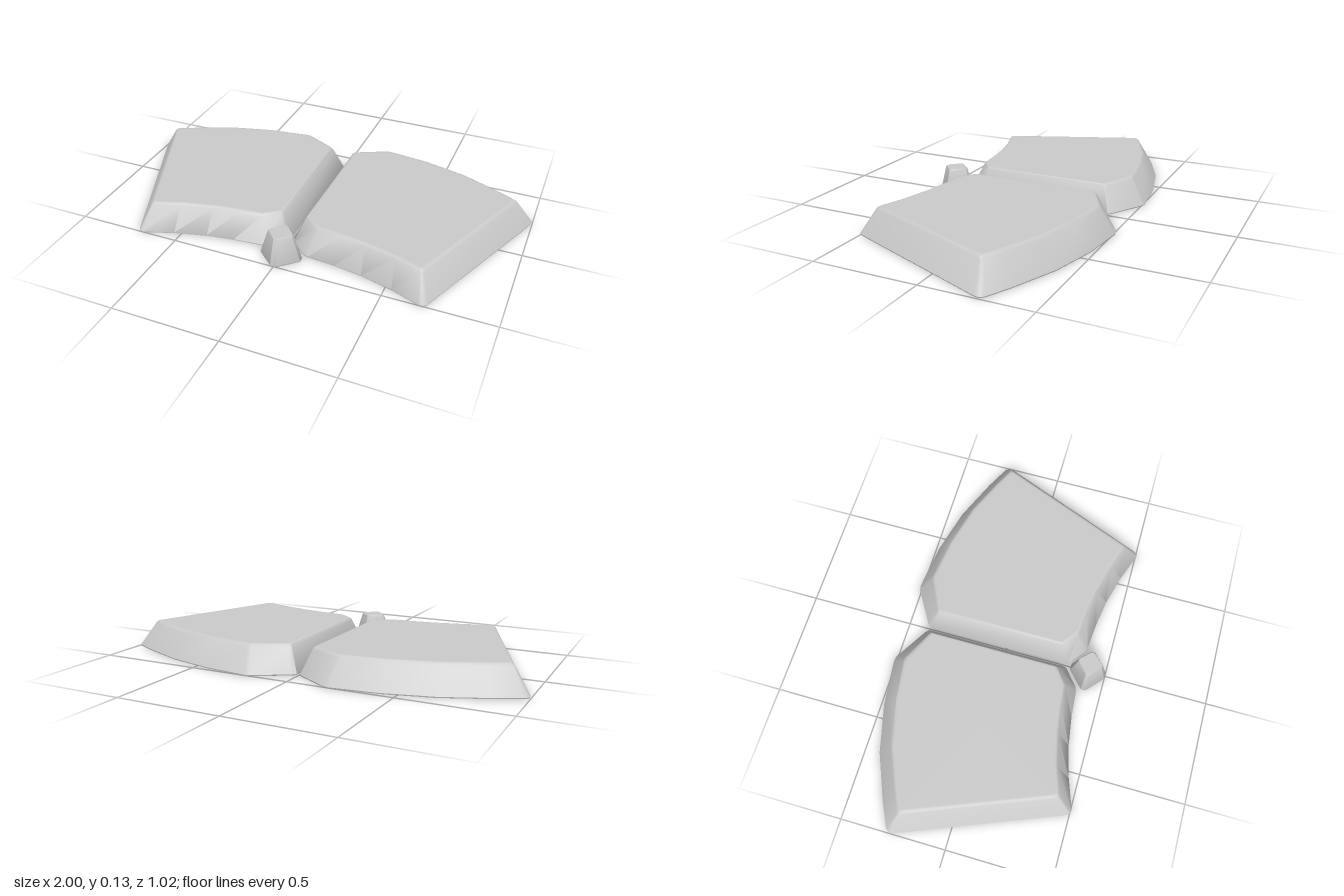
import * as THREE from 'three';
import { toCreasedNormals } from 'three/addons/utils/BufferGeometryUtils.js';

const material = new THREE.MeshStandardMaterial({ color: 0xcccccc });

// Rows of [blend from base to top outline, height]: thin foot, sloped wall, soft rim, flat top
const PROFILE = [[0.1, 0], [0.02, 0.002], [0, 0.007], [0.92, 0.121], [1.02, 0.129], [1.09, 0.132], [1.25, 0.132]];

// Each outline point is [base x, base z, top x, top z], clockwise from above
const TILE = [
  [0.008, -0.395, 0.058, -0.355], [0.025, -0.412, 0.07, -0.365],
  [0.185, -0.508, 0.215, -0.437], [0.21, -0.512, 0.235, -0.438],
  [0.43, -0.487, 0.43, -0.414], [0.66, -0.43, 0.64, -0.36], [0.87, -0.342, 0.82, -0.282],
  [0.985, -0.285, 0.905, -0.24], [0.998, -0.268, 0.913, -0.232], [0.994, -0.245, 0.911, -0.222],
  [0.698, 0.487, 0.655, 0.418], [0.687, 0.502, 0.647, 0.428], [0.67, 0.505, 0.637, 0.428],
  [0.53, 0.455, 0.52, 0.388], [0.38, 0.416, 0.37, 0.352], [0.25, 0.396, 0.25, 0.335],
  [0.115, 0.384, 0.14, 0.324], [0.095, 0.377, 0.125, 0.317],
  [0.015, 0.311, 0.064, 0.272], [0.008, 0.297, 0.058, 0.26],
];

// Diamond with clipped corners
const STUD = [
  [-0.015, 0.329, -0.008, 0.357], [0.015, 0.329, 0.008, 0.357],
  [0.097, 0.403, 0.058, 0.408], [0.097, 0.427, 0.058, 0.422],
  [0.015, 0.5, 0.008, 0.472], [-0.015, 0.5, -0.008, 0.472],
  [-0.097, 0.427, -0.058, 0.422], [-0.097, 0.403, -0.058, 0.408],
];

// Skins the profile around an outline and caps both ends
function taperedBlock(name, outline) {
  const n = outline.length;
  const positions = [];
  const index = [];
  for (const [t, y] of PROFILE) {
    for (const [bx, bz, tx, tz] of outline) {
      positions.push(bx + (tx - bx) * t, y, bz + (tz - bz) * t);
    }
  }
  const cx = outline.reduce((s, p) => s + p[0], 0) / n;
  const cz = outline.reduce((s, p) => s + p[1], 0) / n;
  const rows = PROFILE.length;
  const bottom = rows * n;
  const top = bottom + 1;
  positions.push(cx, 0, cz, cx, PROFILE[rows - 1][1], cz);

  for (let i = 0; i < n; i++) {
    const j = (i + 1) % n;
    for (let r = 0; r < rows - 1; r++) {
      const lo = r * n;
      const hi = lo + n;
      index.push(lo + j, lo + i, hi + i, lo + j, hi + i, hi + j);
    }
    const last = (rows - 1) * n;
    index.push(bottom, i, j, top, last + j, last + i);
  }
  const geometry = new THREE.BufferGeometry();
  geometry.setAttribute('position', new THREE.Float32BufferAttribute(positions, 3));
  geometry.setIndex(index);
  const mesh = new THREE.Mesh(toCreasedNormals(geometry, 0.7), material);
  mesh.name = name;
  return mesh;
}

export function createModel() {
  const group = new THREE.Group();
  group.name = 'curvedTilePair';
  const mirrored = TILE.map(([bx, bz, tx, tz]) => [-bx, bz, -tx, tz]).reverse();
  group.add(
    taperedBlock('leftTile', TILE),
    taperedBlock('rightTile', mirrored),
    taperedBlock('diamondStud', STUD),
  );
  return group;
}
